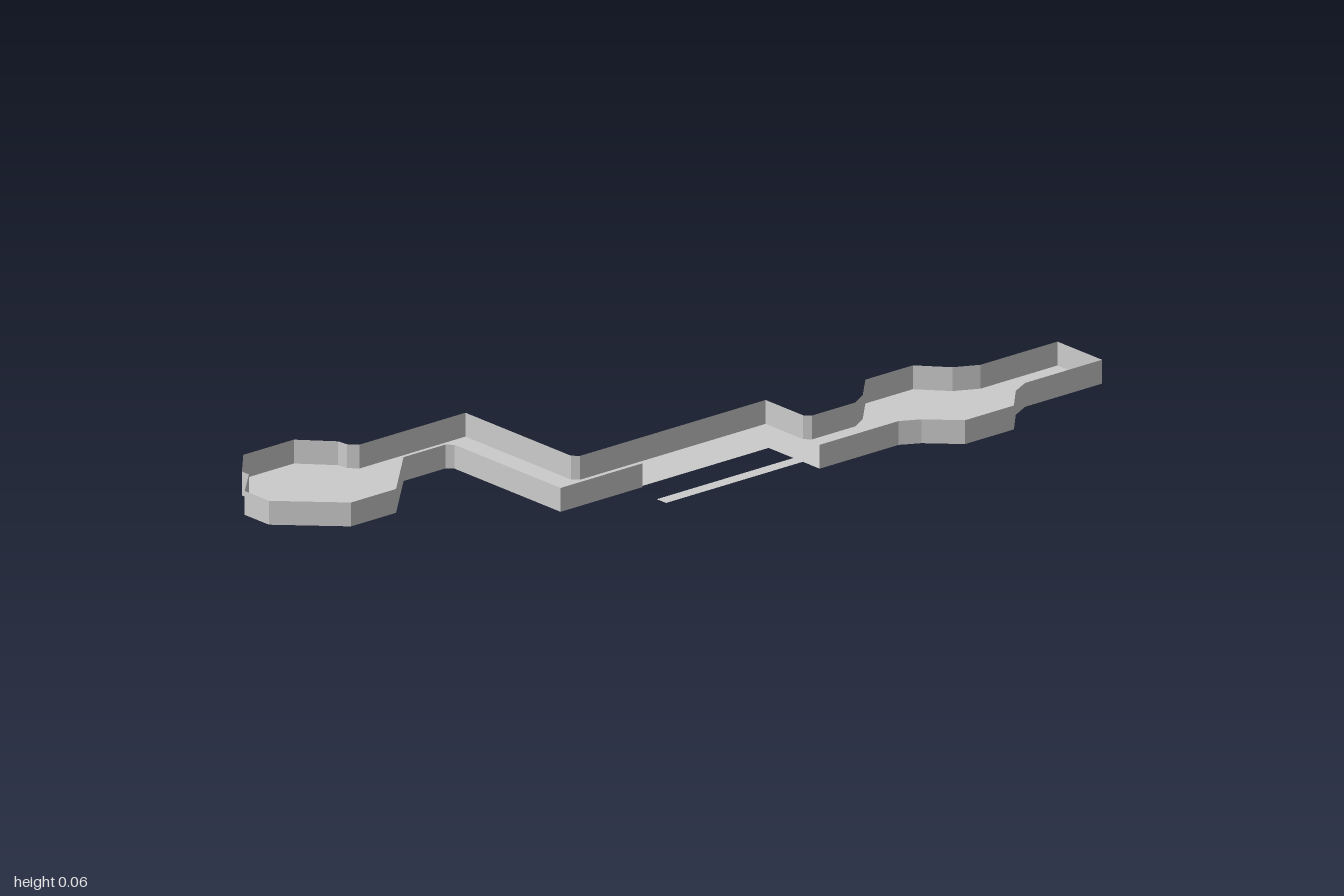
import * as THREE from 'three';

const HEIGHT = 0.057;

// Walled outline as [x, z], from one side of the doorway round to the other
const wallPath = [
  // corridor corner and back wall of the bent passage
  [-0.21, 0.178], [-0.452, 0.178], [-0.452, -0.185], [-0.467, -0.2], [-0.59, -0.2],
  // eight-sided west room
  [-0.735, -0.057], [-0.868, -0.057], [-1, -0.185], [-1, -0.268], [-0.924, -0.342],
  [-0.924, -0.366], [-0.852, -0.445], [-0.703, -0.445], [-0.635, -0.372],
  [-0.632, -0.345], [-0.612, -0.325],
  // bent passage
  [-0.3, -0.325], [-0.3, 0.037], [-0.285, 0.051], [0.262, 0.051], [0.262, 0.18], [0.276, 0.194],
  // east room, back half
  [0.404, 0.194], [0.448, 0.168], [0.516, 0.098], [0.656, 0.098], [0.715, 0.165], [0.773, 0.194],
  // east exit
  [1, 0.194], [1, 0.347],
  // east room, front half
  [0.773, 0.347], [0.724, 0.372], [0.66, 0.44], [0.516, 0.44], [0.446, 0.372], [0.4, 0.347],
  [0.167, 0.347],
];

// Unwalled floor edge: the narrow ledge and the doorway
const openEdge = [
  [0.167, 0.289], [-0.236, 0.289], [-0.236, 0.257], [0.167, 0.257], [0.167, 0.172], [-0.21, 0.172],
];

// Flat floor covering the whole outline
function floorGeometry() {
  const points = [...wallPath, ...openEdge].map(([x, z]) => new THREE.Vector2(x, -z));
  return new THREE.ShapeGeometry(new THREE.Shape(points)).rotateX(-Math.PI / 2);
}

// Thin upright panels, one for each run of the path
function wallGeometry(path) {
  const positions = [];
  for (let i = 0; i < path.length - 1; i++) {
    const [ax, az] = path[i];
    const [bx, bz] = path[i + 1];
    positions.push(
      ax, 0, az, ax, HEIGHT, az, bx, HEIGHT, bz,
      ax, 0, az, bx, HEIGHT, bz, bx, 0, bz,
    );
  }
  const geometry = new THREE.BufferGeometry();
  geometry.setAttribute('position', new THREE.Float32BufferAttribute(positions, 3));
  geometry.computeVertexNormals();
  return geometry;
}

export function createModel() {
  const group = new THREE.Group();
  group.name = 'roomsAndCorridors';
  const material = new THREE.MeshStandardMaterial({
    color: 0xcccccc, flatShading: true, side: THREE.DoubleSide,
  });

  const floor = new THREE.Mesh(floorGeometry(), material);
  floor.name = 'floor';
  const walls = new THREE.Mesh(wallGeometry(wallPath), material);
  walls.name = 'walls';

  group.add(floor, walls);
  return group;
}
